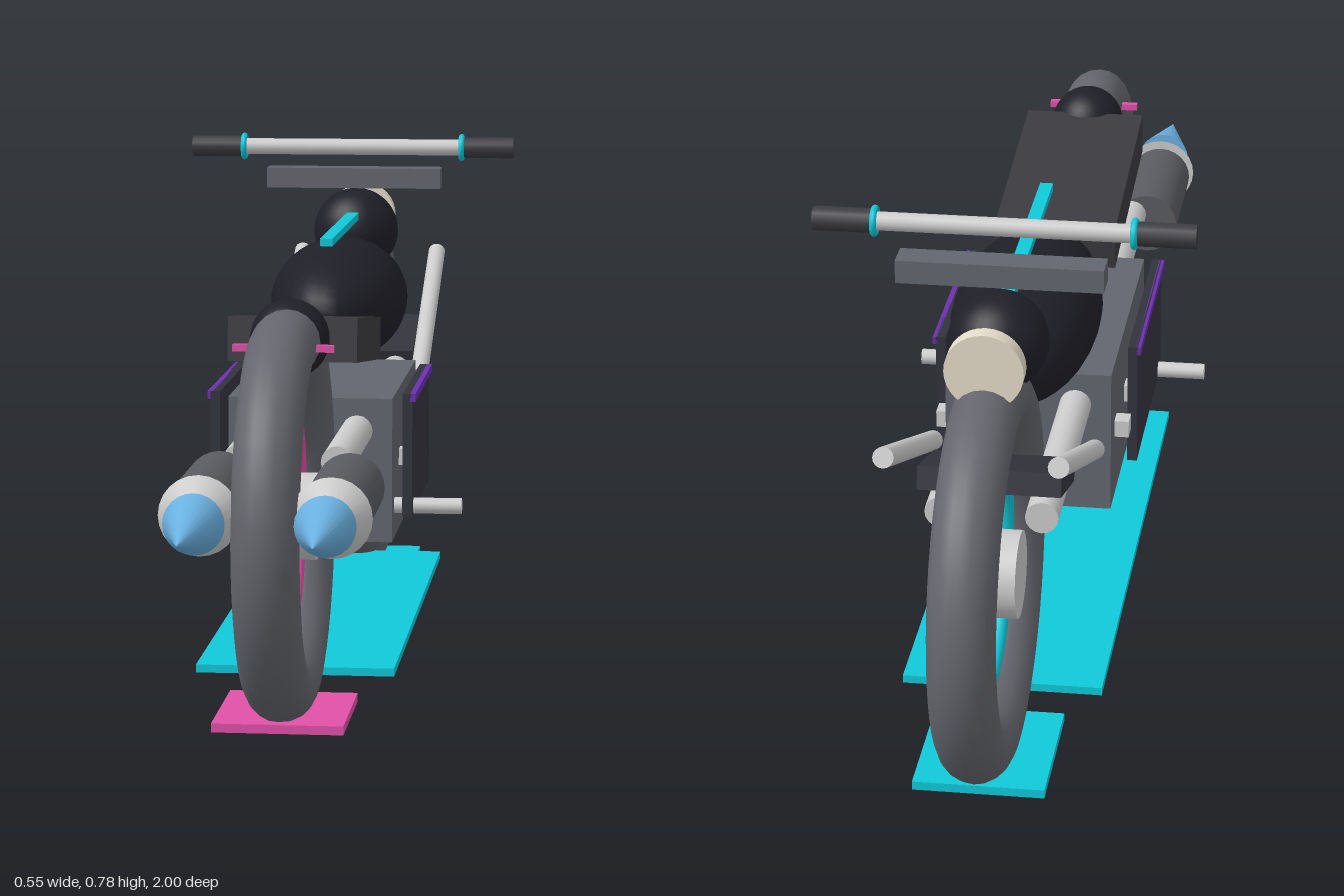
import * as THREE from 'three';

const C = {
  tyre: 0x65666d, tank: 0x1f1f28, seat: 0x3b3b40, teal: 0x10c8d8, pink: 0xe050a8, purple: 0x6c2fb0,
  blue: 0x6ab0e0, steel: 0xcccccc, pipe: 0x5a5b60, engine: 0x64666f, panel: 0x33333d, grip: 0x3c3c42, cream: 0xe4dcc8,
};
const mats = {};
const mat = (c) => (mats[c] ??= new THREE.MeshStandardMaterial({ color: C[c] }));

export function createModel() {
  const model = new THREE.Group();
  model.name = 'motorcycle';

  const add = (name, geo, color, x, y, z, parent = model) => {
    const m = new THREE.Mesh(geo, mat(color));
    m.name = name;
    m.position.set(x, y, z);
    parent.add(m);
    return m;
  };
  const box = (name, w, h, d, color, x, y, z) => add(name, new THREE.BoxGeometry(w, h, d), color, x, y, z);
  const ball = (name, rx, ry, rz, color, y, z) =>
    add(name, new THREE.SphereGeometry(1, 32, 24).scale(rx, ry, rz), color, 0, y, z);
  // cylinder between two points
  const rod = (name, a, b, r, color, seg = 16) => {
    const p = new THREE.Vector3(...a), q = new THREE.Vector3(...b);
    const dir = q.clone().sub(p), mid = p.add(q).multiplyScalar(0.5);
    const m = add(name, new THREE.CylinderGeometry(r, r, dir.length(), seg), color, mid.x, mid.y, mid.z);
    m.quaternion.setFromUnitVectors(new THREE.Vector3(0, 1, 0), dir.normalize());
    return m;
  };
  // cone pointing backwards along +z
  const cone = (name, r, z0, z1, color, x, y) =>
    add(name, new THREE.ConeGeometry(r, z1 - z0, 24).rotateX(Math.PI / 2), color, x, y, (z0 + z1) / 2);

  // Wheels with coloured rims, hubs and ground pads
  for (const [name, z, color, padZ] of [['rear', 0.515, 'pink', 0.512], ['front', -0.7, 'teal', -0.7]]) {
    const wheel = new THREE.Group();
    wheel.name = name + 'Wheel';
    wheel.position.set(0, 0.301, z);
    wheel.rotation.y = Math.PI / 2;
    model.add(wheel);
    add(name + 'Tyre', new THREE.TorusGeometry(0.25, 0.048, 20, 48), 'tyre', 0, 0, 0, wheel);
    add(name + 'Rim', new THREE.TorusGeometry(0.174, 0.013, 12, 48), color, 0, 0, 0, wheel);
    add(name + 'Hub', new THREE.CylinderGeometry(0.063, 0.063, 0.094, 24).rotateX(Math.PI / 2), 'steel', 0, 0, 0, wheel);
    box(name + 'GroundPad', 0.19, 0.013, 0.22, color, 0, 0.0105, padZ);
  }

  // Underglow plate with emitter studs
  box('underPlate', 0.296, 0.012, 0.96, 'teal', 0, 0.046, -0.09);
  for (let i = -2; i <= 2; i++)
    add('underStud', new THREE.CylinderGeometry(0.032, 0.032, 0.015, 20), 'purple', 0, 0.036, -0.09 + i * 0.222);

  // Body
  box('engineBlock', 0.252, 0.222, 0.455, 'engine', 0, 0.313, -0.056);
  ball('fuelTank', 0.11, 0.1, 0.251, 'tank', 0.523, -0.292);
  box('tankStripe', 0.02, 0.012, 0.465, 'teal', 0, 0.638, -0.302);
  box('seat', 0.19, 0.066, 0.395, 'seat', 0, 0.522, 0.222).rotation.x = -0.117;
  ball('tailCowl', 0.058, 0.058, 0.06, 'tank', 0.55, 0.45);
  box('tailLight', 0.146, 0.01, 0.012, 'pink', 0, 0.547, 0.535);
  box('frontCowl', 0.205, 0.034, 0.155, 'panel', 0, 0.413, -0.61).rotation.x = 0.3;

  // Headlamp
  ball('headlampShell', 0.072, 0.072, 0.072, 'tank', 0.609, -0.582);
  rod('headlampLens', [0, 0.623, -0.7], [0, 0.623, -0.727], 0.056, 'cream', 32);

  // Handlebar and instrument block
  const barY = 0.756, barZ = -0.522;
  box('instrumentBlock', 0.296, 0.034, 0.047, 'engine', 0, 0.702, -0.552);
  rod('handlebar', [-0.19, barY, barZ], [0.19, barY, barZ], 0.0135, 'steel');

  // Parts mirrored left and right
  for (const s of [1, -1]) {
    rod('grip', [s * 0.185, barY, barZ], [s * 0.273, barY, barZ], 0.0175, 'grip');
    add('gripRing', new THREE.TorusGeometry(0.018, 0.005, 10, 24).rotateY(Math.PI / 2), 'teal', s * 0.185, barY, barZ);
    rod('forkTube', [s * 0.12, 0.376, -0.438], [s * 0.12, 0.546, -0.85], 0.0148, 'steel');
    rod('frameTube', [s * 0.072, 0.374, 0.48], [s * 0.072, 0.374, -0.665], 0.024, 'steel');
    rod('footPeg', [s * 0.12, 0.252, 0.125], [s * 0.23, 0.252, 0.125], 0.0125, 'steel', 12);
    box('sidePanel', 0.015, 0.19, 0.347, 'panel', s * 0.148, 0.335, -0.016);
    box('panelTrim', 0.008, 0.012, 0.347, 'purple', s * 0.156, 0.424, -0.016);
    for (const z of [-0.223, -0.095, 0.033])
      box('panelMount', 0.028, 0.026, 0.03, 'steel', s * 0.134, 0.315, z);
    // Exhaust: silencer, flare and flame
    rod('silencer', [s * 0.094, 0.344, 0.515], [s * 0.094, 0.344, 0.738], 0.05, 'pipe', 24);
    cone('exhaustFlare', 0.057, 0.762, 0.838, 'steel', s * 0.092, 0.342);
    cone('exhaustFlame', 0.043, 0.83, 0.998, 'blue', s * 0.09, 0.342);
  }
  return model;
}
